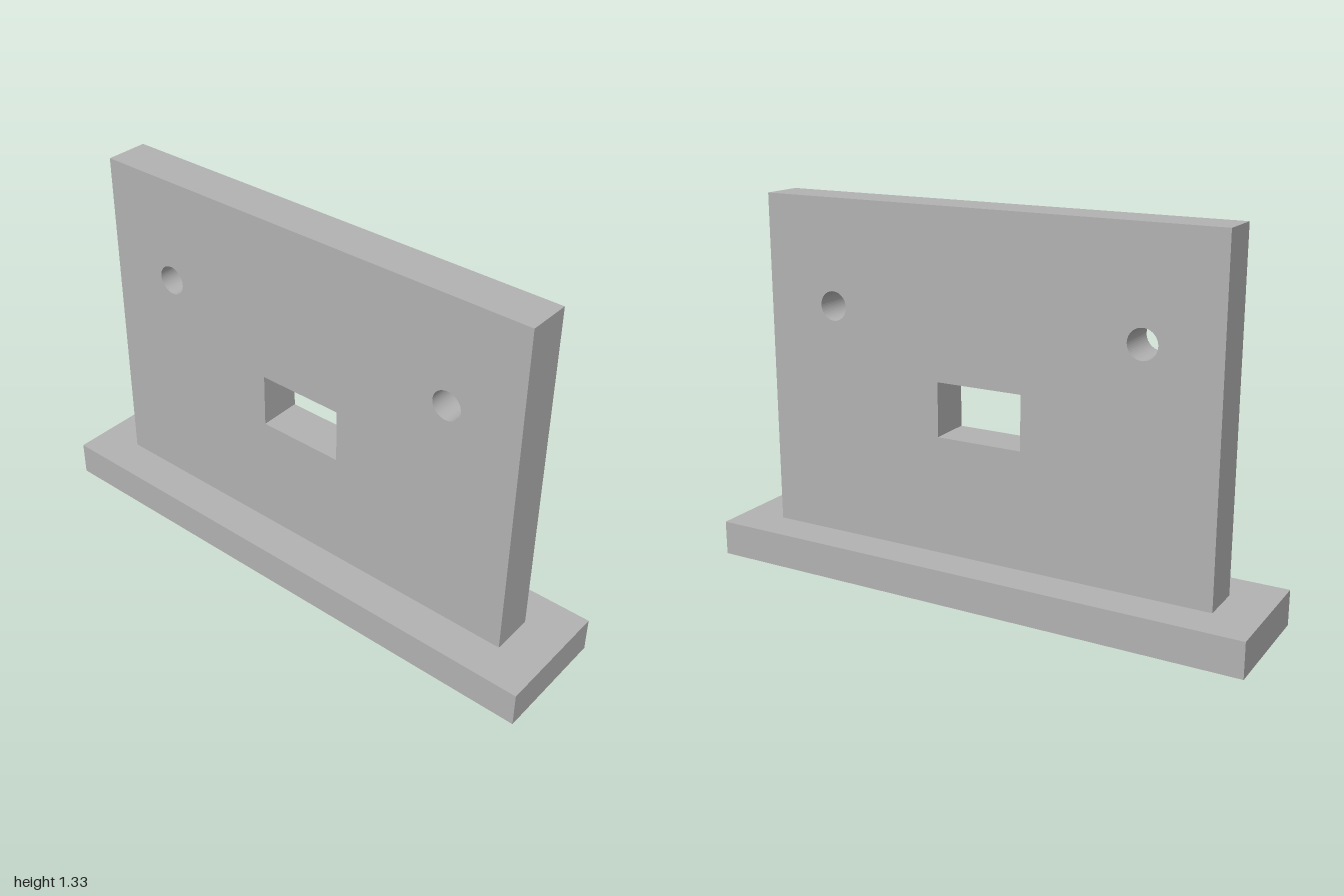
import * as THREE from 'three';

const HOLE_RADIUS = 0.052;

// Closed rectangle outline between two corners
function rectangle(Type, x0, y0, x1, y1) {
  const path = new Type();
  path.moveTo(x0, y0);
  path.lineTo(x1, y0);
  path.lineTo(x1, y1);
  path.lineTo(x0, y1);
  path.closePath();
  return path;
}

// Mirrored pair of round holes
function addHolePair(shape, x, y) {
  for (const side of [-1, 1]) {
    const hole = new THREE.Path();
    hole.absarc(side * x, y, HOLE_RADIUS, 0, Math.PI * 2, true);
    shape.holes.push(hole);
  }
}

function extrude(shape, depth) {
  return new THREE.ExtrudeGeometry(shape, { depth, bevelEnabled: false, curveSegments: 24 });
}

export function createModel() {
  const group = new THREE.Group();
  group.name = 'mountingPlate';
  const grey = new THREE.MeshStandardMaterial({ color: 0xb2b2b2 });
  grey.name = 'light grey';

  const baseHeight = 0.125;
  const panelDepth = 0.154;

  // Flat base with two screw holes from below
  const baseShape = rectangle(THREE.Shape, -1, -0.217, 1, 0.217);
  addHolePair(baseShape, 0.69, 0);
  const baseGeometry = extrude(baseShape, baseHeight);
  baseGeometry.rotateX(-Math.PI / 2);
  const base = new THREE.Mesh(baseGeometry, grey);
  base.name = 'base';
  group.add(base);

  // Upright panel with two round holes and a rectangular window
  const panelShape = rectangle(THREE.Shape, -0.843, baseHeight, 0.843, 1.33);
  addHolePair(panelShape, 0.578, 0.955);
  panelShape.holes.push(rectangle(THREE.Path, -0.158, 0.545, 0.158, 0.738));
  const panelGeometry = extrude(panelShape, panelDepth);
  panelGeometry.translate(0, 0, -panelDepth / 2);
  const panel = new THREE.Mesh(panelGeometry, grey);
  panel.name = 'uprightPanel';
  group.add(panel);

  return group;
}
